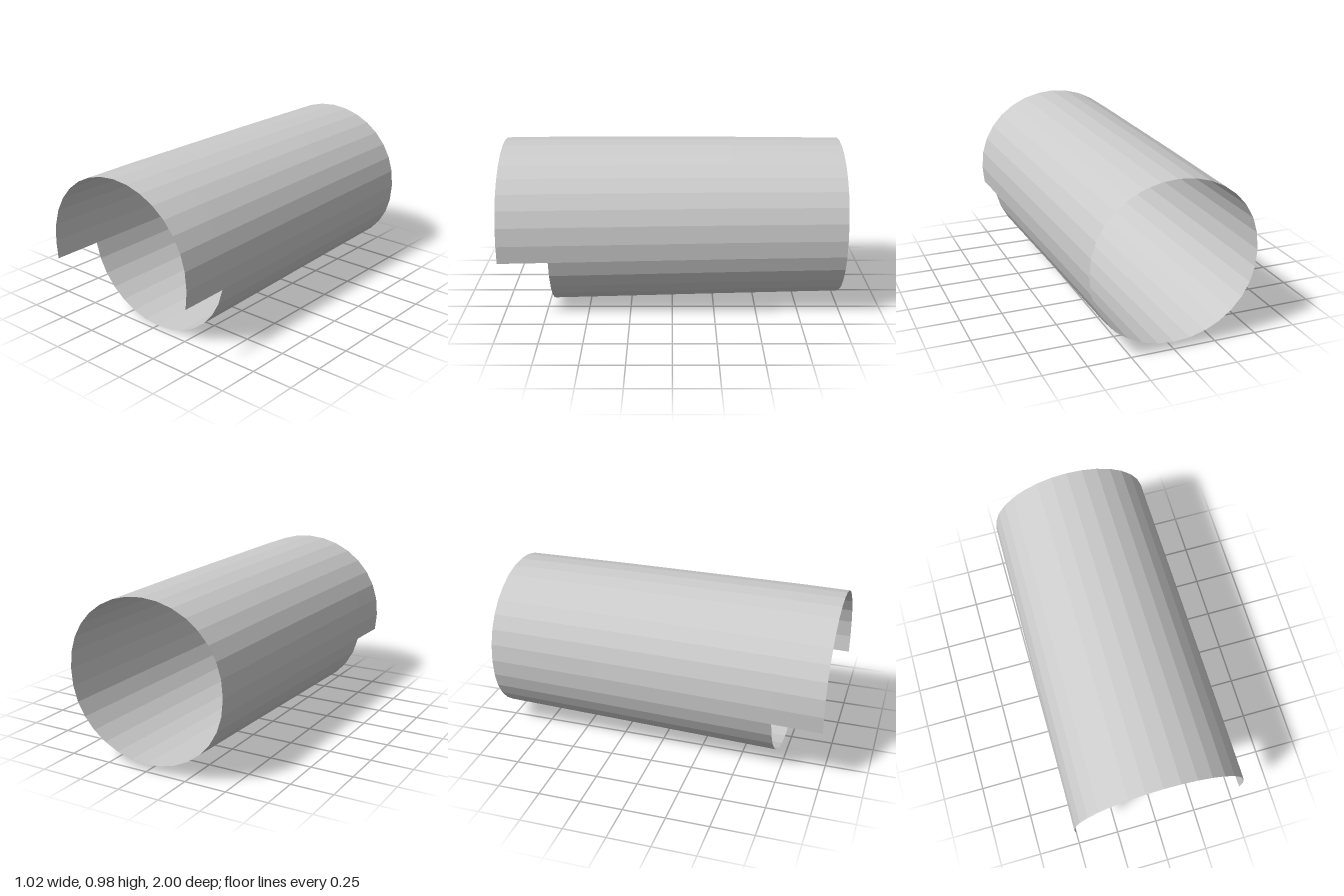
import * as THREE from 'three';

const SIDES = 32;

// Cross-sections along the sleeve, front to back: z, half width, bottom, top
const SECTIONS = [
  [1, 0.512, -0.005, 0.976],
  [0.71, 0.509, 0, 0.98],
  [-0.35, 0.495, 0.028, 0.98],
  [-1, 0.487, 0.044, 0.975],
];

// Point on a slightly squared oval; index 0 is the top
function ringPoint([z, rx, bottom, top], i) {
  const a = (i / SIDES) * Math.PI * 2;
  const c = Math.cos(a);
  const y = Math.sign(c) * Math.abs(c) ** 0.94;
  return [rx * Math.sin(a), (top + bottom) / 2 + ((top - bottom) / 2) * y, z];
}

// Open strip of quads between two sections, from side index first to last
function addStrip(out, front, back, first, last) {
  for (let i = first; i < last; i++) {
    const a = ringPoint(front, i), b = ringPoint(front, i + 1);
    const c = ringPoint(back, i + 1), d = ringPoint(back, i);
    out.push(...a, ...b, ...c, ...a, ...c, ...d);
  }
}

export function createModel() {
  const group = new THREE.Group();
  group.name = 'taperedSleeve';

  const positions = [];
  // Front hood: the lower part is cut away
  addStrip(positions, SECTIONS[0], SECTIONS[1], -9, 9);
  // Full tapered tube behind the hood
  for (let s = 1; s < SECTIONS.length - 1; s++) {
    addStrip(positions, SECTIONS[s], SECTIONS[s + 1], 0, SIDES);
  }

  const geometry = new THREE.BufferGeometry();
  geometry.setAttribute('position', new THREE.Float32BufferAttribute(positions, 3));
  geometry.computeVertexNormals();

  const shell = new THREE.Mesh(
    geometry,
    new THREE.MeshStandardMaterial({ color: 0xcccccc, flatShading: true, side: THREE.DoubleSide })
  );
  shell.name = 'shell';
  group.add(shell);
  return group;
}
